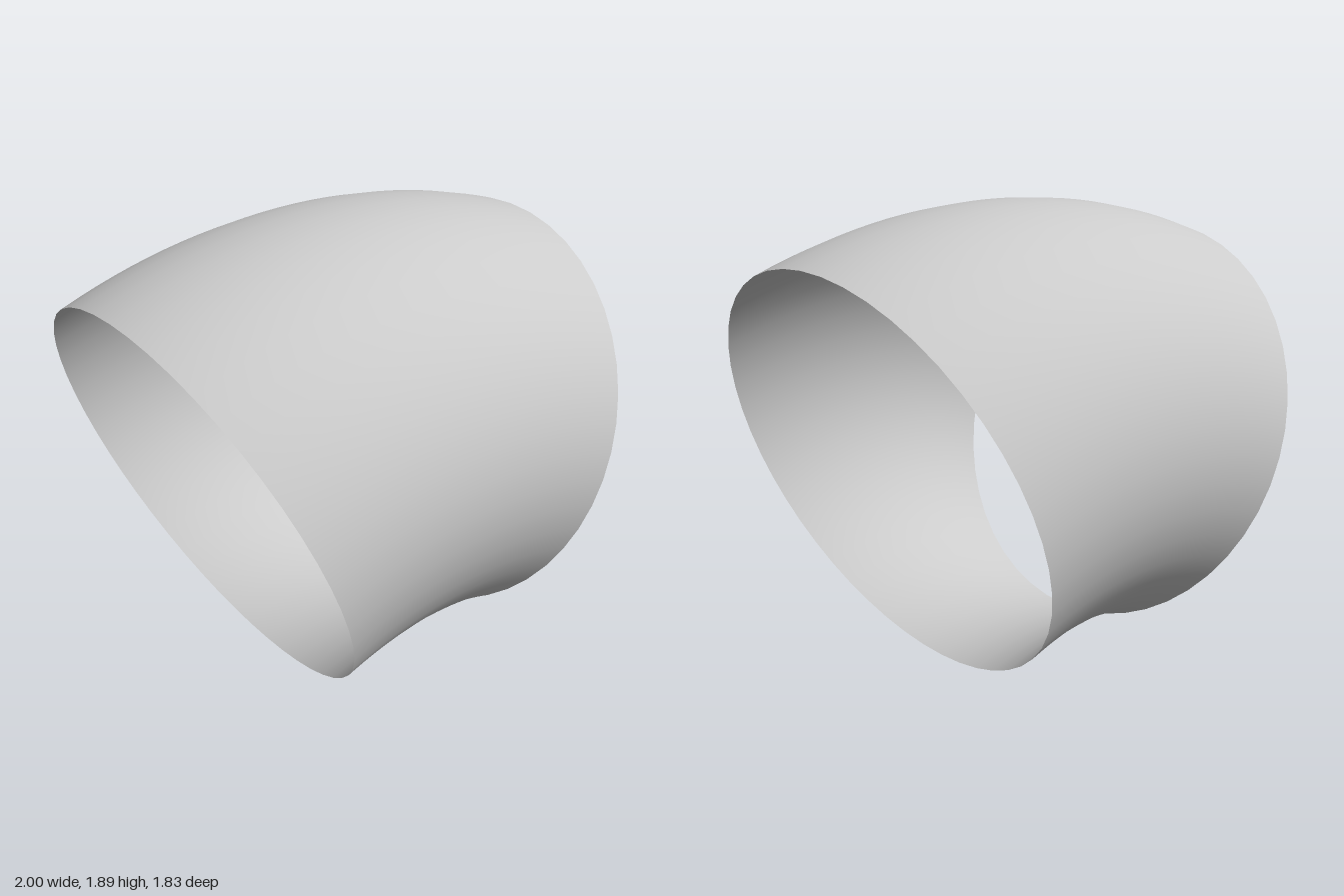
import * as THREE from 'three';

// Open pipe bend: a 40 degree slice of a torus, arching over the z axis.
export function createModel() {
  const halfAngle = THREE.MathUtils.degToRad(20);
  const pipeRadius = 0.914;
  const bendRadius = 2.01;

  const geometry = new THREE.TorusGeometry(bendRadius, pipeRadius, 48, 24, halfAngle * 2);
  // Centre the arc on +y and rest the lower rims on the ground
  geometry.rotateZ(Math.PI / 2 - halfAngle);
  geometry.translate(0, -(bendRadius - pipeRadius) * Math.cos(halfAngle), 0);

  const material = new THREE.MeshStandardMaterial({ color: 0xcccccc, side: THREE.DoubleSide });
  const pipe = new THREE.Mesh(geometry, material);
  pipe.name = 'pipeBend';

  const group = new THREE.Group();
  group.name = 'pipeElbow';
  group.add(pipe);
  return group;
}
